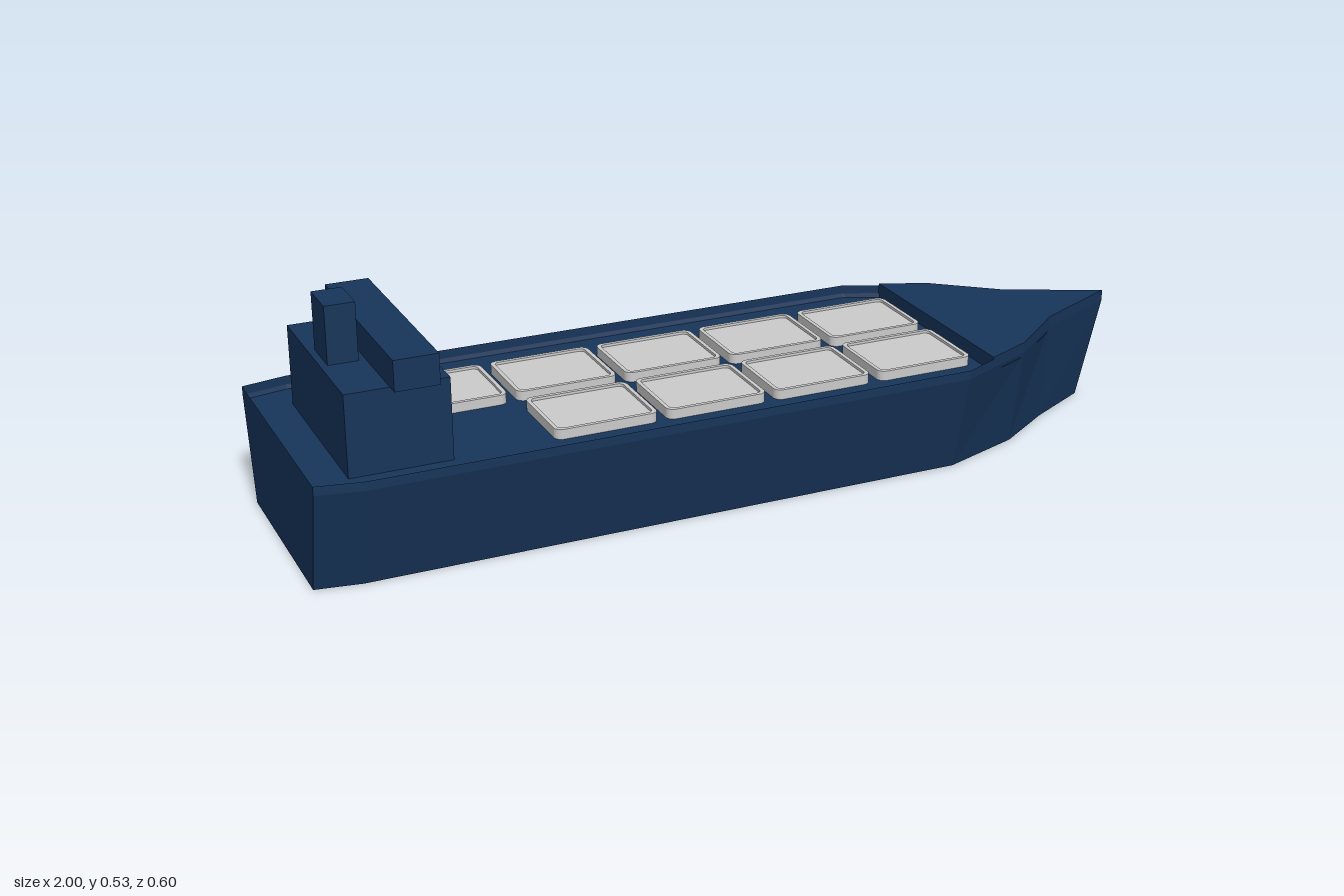
import * as THREE from 'three';

const NAVY = new THREE.MeshStandardMaterial({ color: 0x17355a, flatShading: true, side: THREE.DoubleSide });
const GREY = new THREE.MeshStandardMaterial({ color: 0xcccccc });
const DECK = 0.22, KNUCKLE = 0.23, RAIL = 0.25;

// Half outline of the hull at the rail, stern to stem: [x, half width]
const HALF = [[-1, 0.28], [-0.9, 0.3], [0.46, 0.3], [0.65, 0.215], [0.79, 0.1], [1, 0]];

// Closed outline [x, z] at height y: flared up to the knuckle, vertical above it
function outline(y) {
  const t = Math.min(y / KNUCKLE, 1);
  const side = HALF.map(([x, z]) => [x === 1 ? 0.94 + 0.06 * t : x, z * (0.8 + 0.2 * t)]);
  return [...side, ...side.slice(0, -1).reverse().map(([x, z]) => [x, -z])];
}

const shapeOf = (pts, sign) => new THREE.Shape(pts.map(([x, z]) => new THREE.Vector2(x, sign * z)));

function add(parent, name, geometry, material) {
  const mesh = new THREE.Mesh(geometry, material);
  mesh.name = name;
  parent.add(mesh);
  return mesh;
}

// Plating joining the outlines at the given heights
function plating(levels) {
  const pos = [];
  for (let k = 0; k < levels.length - 1; k++) {
    const y0 = levels[k], y1 = levels[k + 1], low = outline(y0), high = outline(y1);
    low.forEach((p, i) => {
      const j = (i + 1) % low.length;
      const a = [p[0], y0, p[1]], b = [low[j][0], y0, low[j][1]];
      const c = [high[j][0], y1, high[j][1]], d = [high[i][0], y1, high[i][1]];
      pos.push(...a, ...b, ...c, ...a, ...c, ...d);
    });
  }
  const g = new THREE.BufferGeometry();
  g.setAttribute('position', new THREE.Float32BufferAttribute(pos, 3));
  g.computeVertexNormals();
  return g;
}

function box(parent, name, x0, x1, y0, y1, halfZ) {
  const g = new THREE.BoxGeometry(x1 - x0, y1 - y0, 2 * halfZ);
  g.translate((x0 + x1) / 2, (y0 + y1) / 2, 0);
  return add(parent, name, g, NAVY);
}

function roundedRect(target, w, h, r) {
  const x = w / 2, y = h / 2;
  target.absarc(x - r, y - r, r, 0, Math.PI / 2);
  target.absarc(-x + r, y - r, r, Math.PI / 2, Math.PI);
  target.absarc(-x + r, -y + r, r, Math.PI, Math.PI * 1.5);
  target.absarc(x - r, -y + r, r, Math.PI * 1.5, Math.PI * 2);
  target.closePath();
  return target;
}

// Extrude a plan shape straight up
const raise = (shape, depth) =>
  new THREE.ExtrudeGeometry(shape, { depth, bevelEnabled: false, curveSegments: 5 }).rotateX(-Math.PI / 2);

export function createModel() {
  const ship = new THREE.Group();
  ship.name = 'cargoShip';

  // Hull shell with bulwark, bottom and sunken main deck
  add(ship, 'hull', plating([0, KNUCKLE, RAIL]), NAVY);
  add(ship, 'hullBottom', new THREE.ShapeGeometry(shapeOf(outline(0), 1)).rotateX(Math.PI / 2), NAVY);
  add(ship, 'mainDeck', new THREE.ShapeGeometry(shapeOf(outline(DECK), -1)).rotateX(-Math.PI / 2), NAVY)
    .position.y = DECK;

  // Raised foredeck
  const fore = [[0.54, 0.264], ...HALF.slice(3)];
  const forePts = [...fore, ...fore.slice(0, -1).reverse().map(([x, z]) => [x, -z])];
  add(ship, 'foredeck', raise(shapeOf(forePts, -1), 0.025), NAVY).position.y = KNUCKLE;
  box(ship, 'foredeckBulkhead', 0.54, 0.55, DECK, KNUCKLE + 0.002, 0.258);

  // Superstructure
  box(ship, 'deckhouse', -0.91, -0.69, DECK, 0.4, 0.21);
  box(ship, 'bridge', -0.815, -0.72, 0.4, 0.467, 0.24);
  box(ship, 'funnel', -0.895, -0.83, 0.4, 0.527, 0.048);

  // Hatches: a raised coaming around a slightly lower cover
  const w = 0.23, d = 0.19, lip = 0.009;
  const frame = roundedRect(new THREE.Shape(), w, d, 0.018);
  frame.holes.push(roundedRect(new THREE.Path(), w - 2 * lip, d - 2 * lip, 0.012));
  const coaming = raise(frame, 0.022);
  const cover = raise(roundedRect(new THREE.Shape(), w - 2 * lip, d - 2 * lip, 0.012), 0.016);
  for (const side of [-1, 1]) {
    for (let i = 0; i < (side < 0 ? 5 : 4); i++) {
      const hatch = new THREE.Group();
      hatch.name = 'hatch';
      hatch.position.set(0.402 - 0.252 * i, DECK, 0.113 * side);
      add(hatch, 'hatchCoaming', coaming, GREY);
      add(hatch, 'hatchCover', cover, GREY);
      ship.add(hatch);
    }
  }
  return ship;
}
